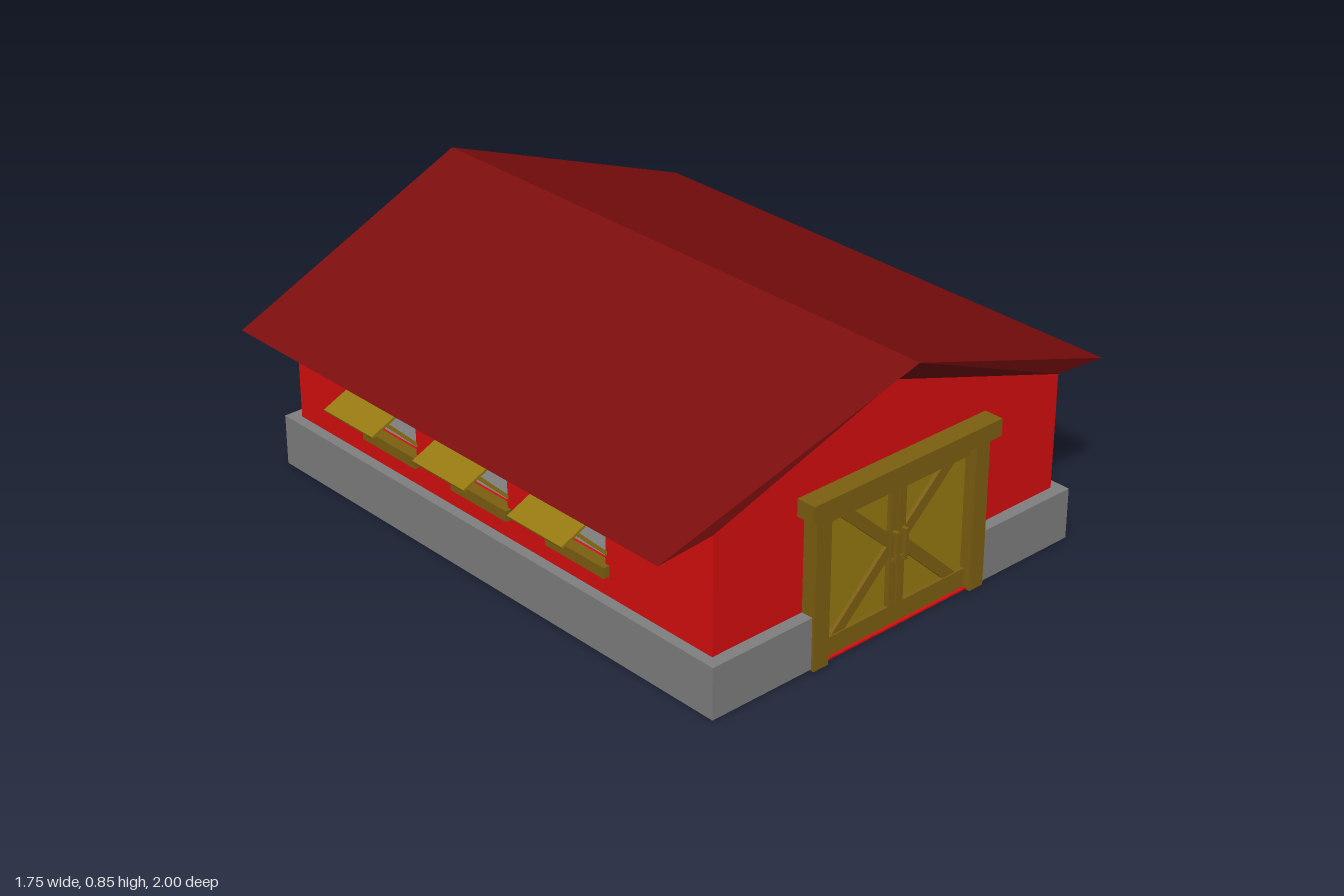
import * as THREE from 'three';

const mat = (color) => new THREE.MeshStandardMaterial({ color, flatShading: true });

export function createModel() {
  const barn = new THREE.Group();
  barn.name = 'barn';
  const red = mat(0xd80e0e), roofRed = mat(0x7d0d0d), grey = mat(0x808080);
  const trim = mat(0x7d5f10), plank = mat(0x967a10);

  const add = (name, geometry, material, parent = barn) => {
    const mesh = new THREE.Mesh(geometry, material);
    mesh.name = name;
    parent.add(mesh);
    return mesh;
  };
  // box given by its limits on each axis
  const box = (name, [x0, x1], [y0, y1], [z0, z1], material, parent) => {
    const mesh = add(name, new THREE.BoxGeometry(x1 - x0, y1 - y0, z1 - z0), material, parent);
    mesh.position.set((x0 + x1) / 2, (y0 + y1) / 2, (z0 + z1) / 2);
    return mesh;
  };
  // bar of square section between two points
  const bar = (name, a, b, width, depth, material, parent) => {
    const from = new THREE.Vector3(...a), to = new THREE.Vector3(...b);
    const mesh = add(name, new THREE.BoxGeometry(width, from.distanceTo(to), depth), material, parent);
    mesh.position.copy(from).lerp(to, 0.5);
    mesh.quaternion.setFromUnitVectors(new THREE.Vector3(0, 1, 0), to.sub(from).normalize());
    return mesh;
  };
  const outline = (points) => new THREE.Shape(points.map(([x, y]) => new THREE.Vector2(x, y)));
  const extrude = (shape, depth) => new THREE.ExtrudeGeometry(shape, { depth, bevelEnabled: false });

  // Floor and stone base, notched for the gate
  box('floor', [-0.71, 0.71], [0, 0.006], [-0.955, 0.955], red);
  const base = extrude(outline([
    [-0.715, -0.96], [-0.345, -0.96], [-0.345, -0.91], [0.34, -0.91], [0.34, -0.96], [0.715, -0.96],
    [0.715, 0.12], [0.68, 0.12], [0.68, 0.95], [0.715, 0.95], [0.715, 0.96], [-0.715, 0.96],
  ]), 0.166);
  base.rotateX(-Math.PI / 2).translate(0, 0.004, 0);
  add('stoneBase', base, grey);
  box('redBaseSection', [0.68, 0.715], [0, 0.17], [-0.95, -0.12], red);

  // Gable walls
  const gable = outline([[-0.68, 0.006], [0.68, 0.006], [0.68, 0.545], [0, 0.765], [-0.68, 0.545]]);
  for (const [name, z] of [['frontWall', 0.87], ['backWall', -0.92]]) {
    add(name, extrude(gable, 0.05), red).position.z = z;
  }

  // Side walls with window openings [z from, z to]
  const sideWall = (name, x, windows, top) => {
    const shape = outline([[-0.87, 0.165], [0.87, 0.165], [0.87, 0.545], [-0.87, 0.545]]);
    for (const [a, b] of windows) {
      shape.holes.push(outline([[a, 0.25], [a, top], [b, top], [b, 0.25]]));
    }
    add(name, extrude(shape, 0.05).rotateY(-Math.PI / 2).translate(x, 0, 0), red);
  };
  const centres = [0.3825, -0.0375, -0.455];
  sideWall('leftWall', 0.68, [[0.28, 0.485], [-0.12, -0.055], [-0.565, -0.345]], 0.41);
  sideWall('rightWall', -0.63, centres.map((z) => [z - 0.11, z + 0.11]), 0.45);

  // Sills and propped-open shutters
  box('windowSill', [0.66, 0.7], [0.235, 0.27], [0.258, 0.507], trim);
  for (const z of centres) {
    const hatch = new THREE.Group();
    hatch.name = 'windowHatch';
    hatch.position.z = z;
    barn.add(hatch);
    box('windowSill', [-0.7, -0.66], [0.235, 0.27], [-0.125, 0.125], trim, hatch);
    bar('shutter', [-0.68, 0.455, 0], [-0.84, 0.385, 0], 0.008, 0.23, plank, hatch);
    for (const s of [-1, 1]) {
      bar('shutterStrut', [-0.785, 0.408, s * 0.11], [-0.675, 0.3, s * 0.11], 0.01, 0.01, plank, hatch);
    }
  }

  // Roof: one closed section at each end, ridge longer than the eaves
  const section = [[0.875, 0.53, 0.92], [0, 0.845, 1], [-0.875, 0.53, 0.92],
    [-0.68, 0.545, 0.92], [0, 0.765, 0.92], [0.68, 0.545, 0.92]];
  const n = section.length, points = [], index = [];
  for (const s of [1, -1]) for (const [x, y, z] of section) points.push(x, y, s * z);
  for (let i = 0; i < n; i++) {
    const j = (i + 1) % n;
    index.push(i, n + i, n + j, i, n + j, j);
  }
  for (const [a, b, c] of [[0, 1, 5], [1, 4, 5], [1, 2, 4], [2, 3, 4]]) {
    index.push(a, b, c, n + a, n + c, n + b);
  }
  let roof = new THREE.BufferGeometry();
  roof.setAttribute('position', new THREE.Float32BufferAttribute(points, 3));
  roof.setIndex(index);
  roof = roof.toNonIndexed();
  roof.computeVertexNormals();
  add('roof', roof, roofRed);

  // Gate frame
  const gate = new THREE.Group();
  gate.name = 'gate';
  barn.add(gate);
  box('gateHeader', [-0.372, 0.37], [0.482, 0.537], [0.91, 0.985], trim, gate);
  box('gatePost', [-0.345, -0.288], [0, 0.482], [0.91, 0.97], trim, gate);
  box('gatePost', [0.285, 0.34], [0, 0.482], [0.91, 0.97], trim, gate);

  // Double doors with rails, stiles, braces and handles
  box('doorPanels', [-0.288, 0.285], [0.004, 0.482], [0.91, 0.93], plank, gate);
  box('topRail', [-0.288, 0.285], [0.435, 0.482], [0.92, 0.946], trim, gate);
  box('bottomRail', [-0.288, 0.285], [0.004, 0.066], [0.92, 0.946], trim, gate);
  for (const s of [-1, 1]) {
    const edges = [s * 0.002, s * 0.03].sort((a, b) => a - b);
    box('centreStile', edges, [0.066, 0.435], [0.92, 0.946], trim, gate);
    bar('upperBrace', [s * 0.215, 0.447, 0.931], [s * 0.02, 0.27, 0.931], 0.036, 0.022, trim, gate);
    bar('lowerBrace', [s * 0.02, 0.258, 0.931], [s * 0.235, 0.056, 0.931], 0.036, 0.022, trim, gate);
    const grip = box('handle', [s * 0.018 - 0.006, s * 0.018 + 0.006], [0.212, 0.31], [0.955, 0.965], trim, gate);
    for (const y of [-0.044, 0.044]) {
      const stub = add('handleMount', new THREE.BoxGeometry(0.012, 0.01, 0.02), trim, grip);
      stub.position.set(0, y, -0.012);
    }
  }
  return barn;
}
